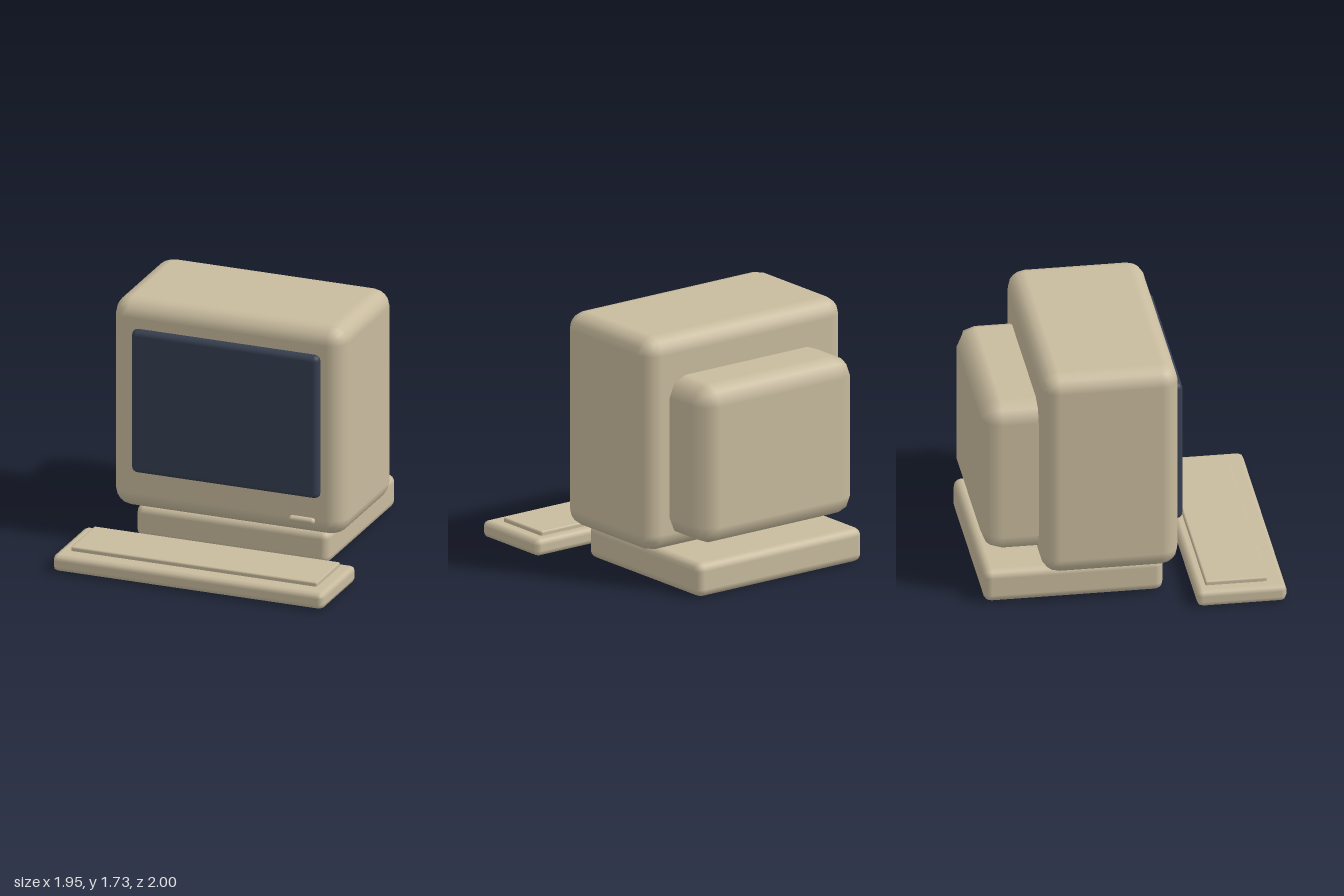
import * as THREE from 'three';
import { RoundedBoxGeometry } from 'three/addons/geometries/RoundedBoxGeometry.js';

const material = (name, color) => {
  const m = new THREE.MeshStandardMaterial({ color });
  m.name = name;
  return m;
};

export function createModel() {
  const model = new THREE.Group();
  model.name = 'desktopComputer';
  const beige = material('beigePlastic', 0xc8bb9e);
  const glass = material('darkGlass', 0x363f50);

  // Rounded box given by its lower and upper bounds on each axis
  const part = (name, [x0, x1], [y0, y1], [z0, z1], radius, segments, mat = beige) => {
    const mesh = new THREE.Mesh(
      new RoundedBoxGeometry(x1 - x0, y1 - y0, z1 - z0, segments, radius), mat);
    mesh.position.set((x0 + x1) / 2, (y0 + y1) / 2, (z0 + z1) / 2);
    mesh.name = name;
    model.add(mesh);
  };

  // Monitor
  part('monitorCase', [-0.835, 0.835], [0.235, 1.725], [-0.625, 0.3], 0.12, 2);
  part('tubeHousing', [-0.65, 0.65], [0.33, 1.44], [-1, -0.4], 0.135, 1);
  part('screen', [-0.675, 0.675], [0.515, 1.535], [0.245, 0.345], 0.04, 2, glass);
  part('powerButton', [0.46, 0.645], [0.33, 0.375], [0.303, 0.348], 0.022, 2);

  // Stand
  part('base', [-0.695, 0.695], [0, 0.235], [-1, 0.21], 0.055, 2);

  // Keyboard
  part('keyboardBody', [-0.975, 0.975], [0, 0.12], [0.395, 1], 0.04, 1);
  part('keyPanel', [-0.885, 0.885], [0.1, 0.15], [0.463, 0.88], 0.012, 1);

  return model;
}
